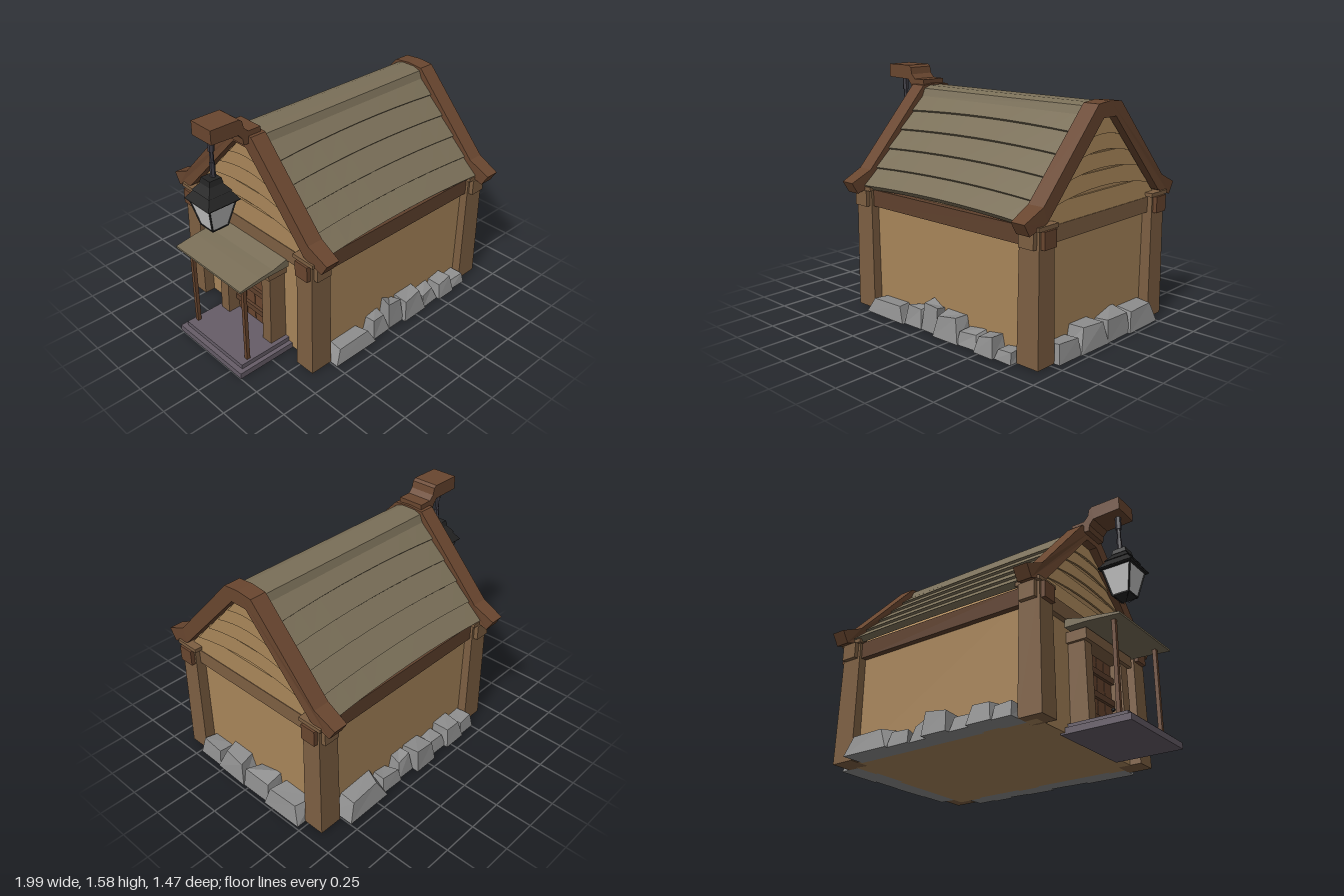
import * as THREE from 'three';

const mat = (color) => new THREE.MeshStandardMaterial({ color, flatShading: true, side: THREE.DoubleSide });
const M = {
  wall: mat(0xa8855a), plank: mat(0xa07f54), roof: mat(0x7a6f58), frame: mat(0x69462f), post: mat(0x7d5f42),
  beam: mat(0x5f412d), stone: mat(0x8e8e8e), iron: mat(0x242424), chain: mat(0x3c3a42), slab: mat(0x665d68), glass: mat(0xcccccc),
};

function add(parent, name, geo, material) {
  const m = new THREE.Mesh(geo, material);
  m.name = name;
  parent.add(m);
  return m;
}

// Box given by its limits on each axis
function box(x0, x1, y0, y1, z0, z1) {
  return new THREE.BoxGeometry(x1 - x0, y1 - y0, z1 - z0).translate((x0 + x1) / 2, (y0 + y1) / 2, (z0 + z1) / 2);
}

// Moves every vertex by a rule
function bend(geo, rule) {
  const p = geo.attributes.position, v = new THREE.Vector3();
  for (let i = 0; i < p.count; i++) {
    rule(v.fromBufferAttribute(p, i));
    p.setXYZ(i, v.x, v.y, v.z);
  }
  geo.computeVertexNormals();
  return geo;
}

const shapeOf = (pts) => new THREE.Shape(pts.map(([a, b]) => new THREE.Vector2(a, b)));

// Profile of [z, y] points swept along x
function prismX(pts, x0, x1, steps = 1) {
  return new THREE.ExtrudeGeometry(shapeOf(pts), { depth: x1 - x0, steps, bevelEnabled: false })
    .rotateY(-Math.PI / 2).translate(x1, 0, 0);
}

// Profile of [x, y] points swept along z
function prismZ(pts, z0, z1) {
  return new THREE.ExtrudeGeometry(shapeOf(pts), { depth: z1 - z0, bevelEnabled: false }).translate(0, 0, z0);
}

const mirrored = (half) => [...half, ...half.slice().reverse().map(([z, y]) => [-z, y])];

// Row of rough stones along local x, facing local +z; each entry is [start, end, height, depth]
function stoneRow(list, seed) {
  const g = new THREE.Group();
  list.forEach(([a, b, h, d], i) => {
    const rnd = (k) => { const s = Math.sin((seed + i * 8 + k) * 127.1) * 43758.5453; return s - Math.floor(s); };
    const w = b - a;
    const geo = bend(box(a, b, 0.01, h, 0, d), (v) => {
      const right = v.x > (a + b) / 2, top = v.y > h / 2, front = v.z > d / 2;
      const k = (right ? 1 : 0) + (front ? 2 : 0);
      if (top) {
        v.x += (right ? -1 : 1) * w * (0.04 + 0.2 * rnd(k));
        v.y -= h * 0.28 * rnd(k + 4);
        if (front) v.z -= 0.015 + 0.035 * rnd(k);
      } else if (front) v.z -= 0.015 * rnd(k);
    });
    add(g, 'stone', geo, M.stone);
  });
  return g;
}

export function createModel() {
  const root = new THREE.Group();
  root.name = 'cottage';

  // Walls with both gables in one profile
  add(root, 'walls', prismX(mirrored([[0.56, 0.01], [0.56, 0.82], [0.06, 1.38]]), -0.58, 0.85), M.wall);

  // Gable siding: bowed boards that lean outward at the bottom
  const halfWidth = (y) => 0.56 - (y - 0.84) * 0.94;
  for (const [wallX, s] of [[0.85, 1], [-0.58, -1]]) {
    [[0.81, 0.93, 0], [0.93, 1.05, 0.05], [1.05, 1.16, 0.04], [1.16, 1.27, 0.035], [1.27, 1.38, 0.02]].forEach(([y0, y1, bow]) => {
      const w0 = halfWidth(y0), w1 = halfWidth(y1), pts = [[w1, y1], [-w1, y1]];
      for (let i = 0; i <= 8; i++) {
        const t = i / 4 - 1;
        pts.push([t * w0, y0 - 0.02 + bow * (1 - t * t)]);
      }
      const geo = bend(prismX(pts, 0, 0.012), (v) => {
        v.x = wallX + s * (v.x + (y1 - v.y) * 0.16);
      });
      add(root, 'gableBoard', geo, M.plank);
    });
  }

  // Corner posts with a slight taper, and capped beam ends
  for (const [cx, sx] of [[-0.575, -1], [0.845, 1]]) {
    for (const sz of [-1, 1]) {
      const cz = sz * 0.55;
      const post = bend(box(-0.08, 0.08, 0.01, 0.83, -0.072, 0.072), (v) => {
        const k = v.y > 0.4 ? 0.9 : 1;
        v.set(cx + v.x * k, v.y, cz + v.z * k);
      });
      add(root, 'cornerPost', post, M.post);
      add(root, 'postCollar', box(cx - 0.085, cx + 0.085, 0.815, 0.84, cz - 0.085, cz + 0.085), M.post);
      const end = cx + sx * 0.1;
      add(root, 'longBeamEnd', box(Math.min(cx, end), Math.max(cx, end), 0.71, 0.815, cz - 0.052, cz + 0.052), M.frame);
      const ez = sz * 0.645;
      add(root, 'crossBeamEnd', box(cx - 0.055, cx + 0.055, 0.71, 0.815, Math.min(cz, ez), Math.max(cz, ez)), M.post);
    }
    const bx = cx + sx * 0.005;
    add(root, 'crossBeam', box(bx - 0.035, bx + 0.035, 0.71, 0.81, -0.5, 0.5), M.post);
  }
  for (const s of [-1, 1]) add(root, 'longBeam', box(-0.5, 0.77, 0.71, 0.82, s * 0.56 - 0.04, s * 0.56 + 0.04), M.beam);

  // Gable frames with flared eaves
  const outer = [[0.735, 0.875], [0.585, 0.945], [0.11, 1.455], [0, 1.465]];
  const inner = [[0.06, 1.37], [0.55, 0.85], [0.69, 0.80]];
  const frameProfile = [...outer, ...outer.slice(0, 3).reverse().map(([z, y]) => [-z, y]),
    ...inner.slice().reverse().map(([z, y]) => [-z, y]), ...inner];
  for (const cx of [-0.595, 0.865]) {
    const geo = bend(prismX(frameProfile, -0.055, 0.055), (v) => {
      v.x = cx + v.x * (Math.abs(v.z) > 0.65 ? 0.88 : 1);
    });
    add(root, 'gableFrame', geo, M.frame);
  }

  // Roof: overlapping boards on both slopes, lower edges lifted and bowed
  const rows = [0.83, 0.935, 1.05, 1.165, 1.28, 1.43];
  const slopeZ = (y) => 0.075 + (1.41 - y) * 0.94;
  for (const s of [-1, 1]) {
    for (let i = 0; i < 5; i++) {
      const y0 = rows[i], y1 = rows[i + 1] + (i < 4 ? 0.025 : 0.0);
      const z0 = slopeZ(y0), z1 = slopeZ(y1);
      const pts = [[z0 - 0.012, y0 - 0.012], [z0 + 0.018, y0 + 0.018], [z1 + 0.006, y1 + 0.006], [z1 - 0.02, y1 - 0.02]];
      const geo = bend(prismX(pts.map(([z, y]) => [s * z, y]), -0.55, 0.82, 8), (v) => {
        const t = (v.x - 0.135) / 0.685;
        if (v.y < (y0 + y1) / 2) {
          v.y += 0.018 * (1 - t * t);
          v.z -= s * 0.015 * (1 - t * t);
        }
      });
      add(root, 'roofBoard', geo, M.roof);
    }
  }
  add(root, 'ridgeBoard', prismX(mirrored([[0.12, 1.385], [0.1, 1.435], [0.05, 1.452]]), -0.55, 0.82), M.roof);

  // Stone footing on the front, the back and the +x side
  const front = stoneRow([[-0.5, -0.15, 0.11, 0.15], [-0.15, 0.0, 0.16, 0.13], [0.0, 0.14, 0.21, 0.12], [0.13, 0.34, 0.18, 0.15],
    [0.33, 0.48, 0.12, 0.13], [0.48, 0.63, 0.14, 0.15], [0.63, 0.76, 0.09, 0.13]], 3);
  front.position.z = 0.54;
  const back = stoneRow([[-0.75, -0.41, 0.17, 0.17], [-0.42, -0.25, 0.11, 0.14], [-0.25, -0.12, 0.15, 0.13], [-0.12, 0.06, 0.17, 0.17],
    [0.06, 0.21, 0.12, 0.14], [0.2, 0.37, 0.16, 0.17], [0.37, 0.5, 0.11, 0.15]], 71);
  back.rotation.y = Math.PI;
  back.position.z = -0.54;
  const side = stoneRow([[-0.48, -0.28, 0.14, 0.14], [-0.29, -0.03, 0.17, 0.16], [-0.03, 0.2, 0.17, 0.15], [0.18, 0.48, 0.18, 0.17]], 140);
  side.rotation.y = Math.PI / 2;
  side.position.x = 0.83;
  for (const g of [front, back, side]) {
    g.name = 'stoneFooting';
    root.add(g);
  }

  // Porch: stepped slab, two thin posts and a sloping canopy
  add(root, 'porchStep', box(-1, -0.55, 0, 0.04, -0.28, 0.35), M.slab);
  add(root, 'porchSlab', box(-0.965, -0.55, 0.04, 0.07, -0.25, 0.32), M.slab);
  for (const z of [-0.22, 0.29]) add(root, 'porchPost', box(-0.91, -0.885, 0.07, 0.66, z - 0.012, z + 0.012), M.frame);
  add(root, 'porchCanopy', prismZ([[-0.97, 0.645], [-0.97, 0.658], [-0.82, 0.68], [-0.72, 0.69], [-0.6, 0.72], [-0.6, 0.66], [-0.75, 0.66]], -0.285, 0.355), M.roof);

  // Door with frame, boards and cross bars
  for (const z of [-0.18, 0.25]) {
    add(root, 'doorJamb', prismZ([[-0.705, 0.07], [-0.695, 0.6], [-0.57, 0.6], [-0.57, 0.07]], z - 0.04, z + 0.04), M.post);
  }
  add(root, 'doorLintel', box(-0.72, -0.57, 0.58, 0.65, -0.24, 0.31), M.post);
  for (let i = 0; i < 4; i++) {
    const z = -0.14 + i * 0.0875;
    add(root, 'doorBoard', box(-0.62, -0.57, 0.07, 0.58, z + 0.003, z + 0.085), M.frame);
  }
  for (const y of [0.17, 0.32, 0.47]) add(root, 'doorBar', box(-0.64, -0.61, y - 0.02, y + 0.02, -0.14, 0.21), M.beam);
  add(root, 'doorKnob', new THREE.IcosahedronGeometry(0.015, 0).translate(-0.65, 0.27, 0.17), M.iron);

  // Bracket on the ridge that carries the lantern
  add(root, 'lanternArm', prismZ([[-0.91, 1.49], [-0.91, 1.58], [-0.71, 1.58], [-0.69, 1.565], [-0.68, 1.52], [-0.65, 1.49],
    [-0.56, 1.49], [-0.56, 1.44], [-0.64, 1.41], [-0.685, 1.41], [-0.69, 1.45], [-0.72, 1.485]], -0.09, 0.09), M.frame);

  // Lantern: hanger, stepped four-sided hood, tapered glass and corner bars
  const lantern = new THREE.Group();
  lantern.name = 'lantern';
  lantern.position.x = -0.865;
  root.add(lantern);
  const frustum = (top, bottom, y0, y1) => new THREE.CylinderGeometry(top * Math.SQRT2, bottom * Math.SQRT2, y1 - y0, 4)
    .rotateY(Math.PI / 4).translate(0, (y0 + y1) / 2, 0);
  [[1.23, 1.33, 0.017], [1.32, 1.41, 0.013], [1.4, 1.49, 0.02]].forEach(([y0, y1, r]) =>
    add(lantern, 'hanger', new THREE.CylinderGeometry(r, r, y1 - y0, 6).translate(0.015, (y0 + y1) / 2, 0), M.chain));
  [[0.042, 0.05, 1.2, 1.235], [0.045, 0.085, 1.15, 1.2], [0.07, 0.118, 1.09, 1.16], [0.118, 0.11, 1.082, 1.092]].forEach(([t, b, y0, y1]) =>
    add(lantern, 'lanternHood', frustum(t, b, y0, y1), M.iron));
  add(lantern, 'lanternGlass', frustum(0.096, 0.056, 0.912, 1.085), M.glass);
  add(lantern, 'lanternBase', frustum(0.06, 0.058, 0.905, 0.915), M.iron);
  const rod = (a, b, r) => new THREE.TubeGeometry(new THREE.LineCurve3(new THREE.Vector3(...a), new THREE.Vector3(...b)), 1, r, 4);
  for (const sx of [-1, 1]) {
    for (const sz of [-1, 1]) {
      add(lantern, 'lanternBar', rod([sx * 0.097, 1.085, sz * 0.097], [sx * 0.057, 0.91, sz * 0.057], 0.006), M.iron);
      add(lantern, 'lanternTip', rod([sx * 0.055, 0.91, sz * 0.055], [sx * 0.015, 0.87, sz * 0.015], 0.002), M.iron);
    }
  }
  return root;
}
